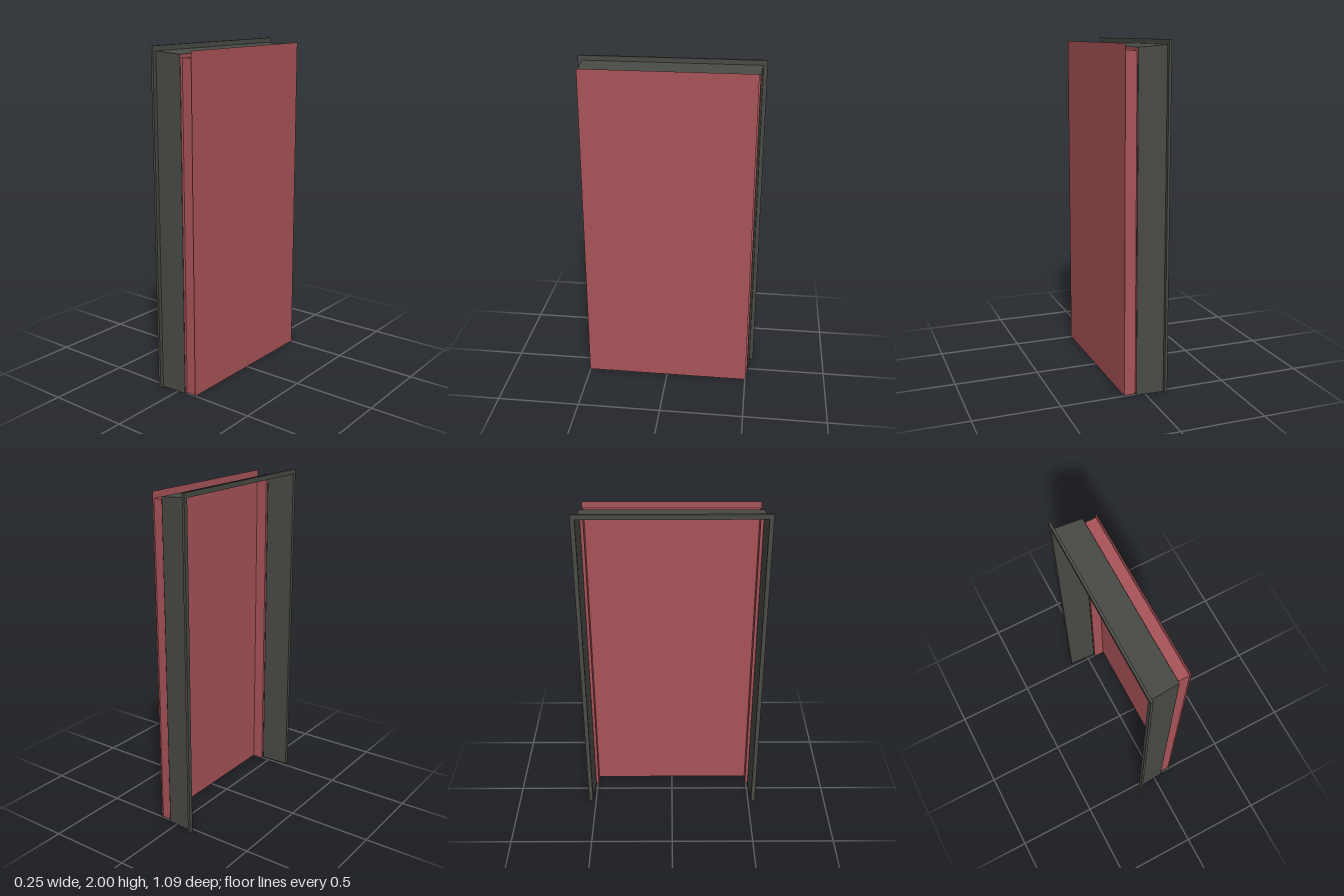
import * as THREE from 'three';

// Corners of a door-shaped arch: up one side, across the top, down the other
const arch = (half, top) => [[half, 0], [half, top], [-half, top], [-half, 0]];

// Thin lining swept between arch sections given as [x, halfWidth, top]
function lining(name, sections, material) {
  const pos = [];
  for (let s = 0; s < sections.length - 1; s++) {
    const [x0, h0, t0] = sections[s], [x1, h1, t1] = sections[s + 1];
    const A = arch(h0, t0), B = arch(h1, t1);
    for (let i = 0; i < 3; i++) {
      const a = [x0, A[i][1], A[i][0]], b = [x1, B[i][1], B[i][0]];
      const c = [x1, B[i + 1][1], B[i + 1][0]], d = [x0, A[i + 1][1], A[i + 1][0]];
      pos.push(...a, ...b, ...c, ...a, ...c, ...d);
    }
  }
  const g = new THREE.BufferGeometry();
  g.setAttribute('position', new THREE.Float32BufferAttribute(pos, 3));
  g.computeVertexNormals();
  const mesh = new THREE.Mesh(g, material);
  mesh.name = name;
  return mesh;
}

export function createModel() {
  const group = new THREE.Group();
  group.name = 'doorway';
  const frameGrey = new THREE.MeshStandardMaterial({ color: 0x484a45, side: THREE.DoubleSide });
  frameGrey.name = 'frameGrey';
  const doorRed = new THREE.MeshStandardMaterial({ color: 0xa85358, side: THREE.DoubleSide });
  doorRed.name = 'doorRed';

  // Raised trim around the opening
  const outline = [...arch(0.545, 2), ...arch(0.52, 1.972).reverse()];
  const trimShape = new THREE.Shape(outline.map(([z, y]) => new THREE.Vector2(z, y)));
  const trimGeo = new THREE.ExtrudeGeometry(trimShape, { depth: 0.015, bevelEnabled: false });
  trimGeo.rotateY(Math.PI / 2);
  trimGeo.translate(-0.125, 0, 0);
  const trim = new THREE.Mesh(trimGeo, frameGrey);
  trim.name = 'outerTrim';
  group.add(trim);

  // Tapering grey reveal, then the stepped-in red jamb
  group.add(lining('greyReveal', [[-0.11, 0.522, 1.972], [0.052, 0.511, 1.96]], frameGrey));
  group.add(lining('redJamb', [[0.053, 0.511, 1.96], [0.053, 0.494, 1.942], [0.12, 0.494, 1.942]], doorRed));

  // Two thin door leaves meeting at a centre seam
  for (const side of [1, -1]) {
    const leaf = new THREE.Mesh(new THREE.PlaneGeometry(0.503, 1.98), doorRed);
    leaf.rotation.y = Math.PI / 2;
    leaf.position.set(0.122, 0.99, side * 0.2515);
    leaf.name = side > 0 ? 'frontDoorLeaf' : 'backDoorLeaf';
    group.add(leaf);
  }
  return group;
}
